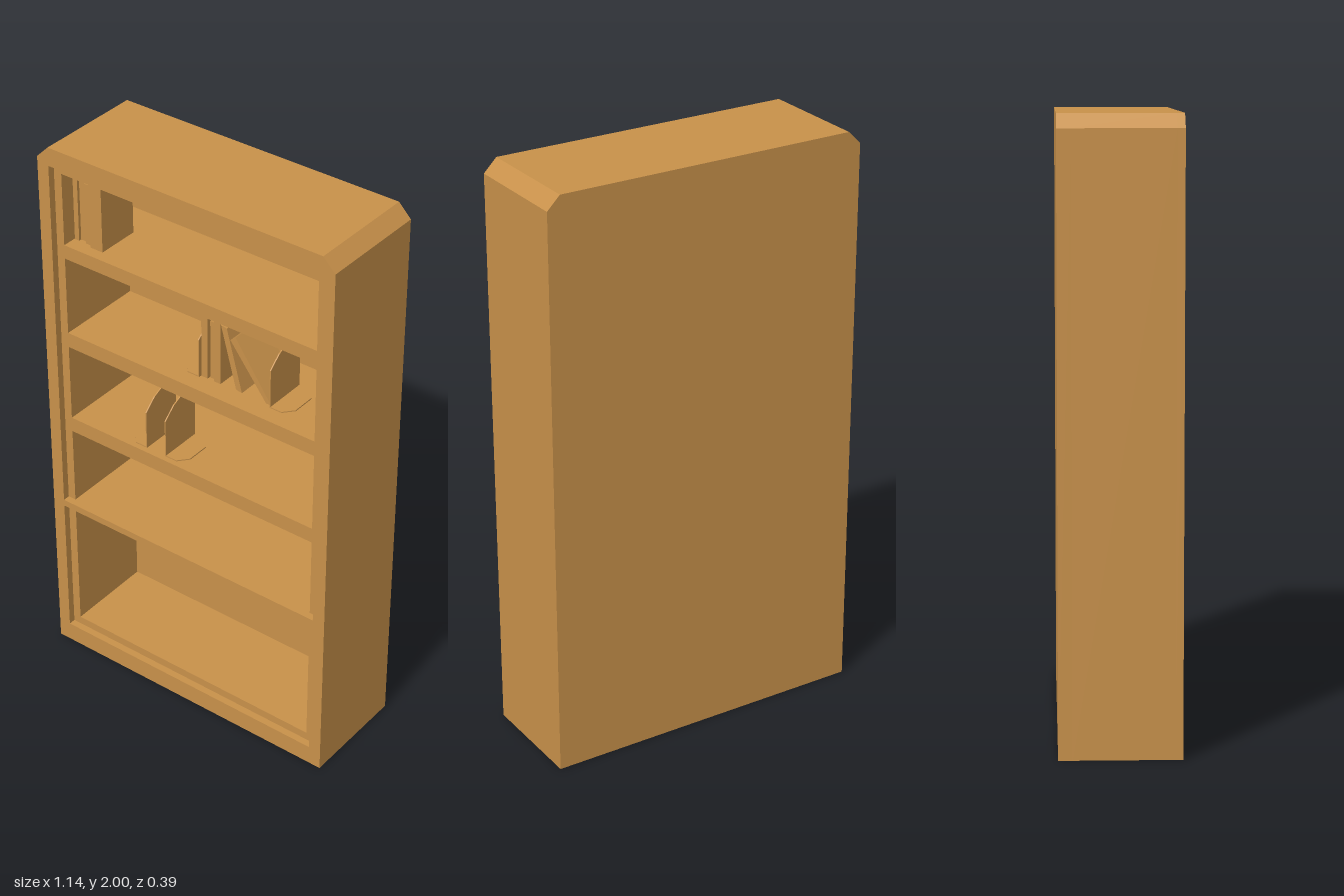
import * as THREE from 'three';

export function createModel() {
  const root = new THREE.Group();
  root.name = 'bookcase';
  const wood = new THREE.MeshStandardMaterial({ color: 0xc8914a });
  wood.name = 'honey wood';

  const add = (name, geometry, parent = root) => {
    const mesh = new THREE.Mesh(geometry, wood);
    mesh.name = name;
    parent.add(mesh);
    return mesh;
  };
  const group = (name) => {
    const g = new THREE.Group();
    g.name = name;
    root.add(g);
    return g;
  };
  const polygon = (pts) => new THREE.Shape(pts.map(([x, y]) => new THREE.Vector2(x, y)));

  // Cabinet layer: chamfered outline with rectangular holes, from z0 to z1
  const layer = (name, z0, z1, half, openings) => {
    const shape = polygon([[-0.57, 0], [0.57, 0], [0.57, 1.955], [0.525, 2], [-0.525, 2], [-0.57, 1.955]]);
    for (const [y0, y1] of openings) {
      shape.holes.push(polygon([[-half, y0], [-half, y1], [half, y1], [half, y0]]));
    }
    const geo = new THREE.ExtrudeGeometry(shape, { depth: z1 - z0, bevelEnabled: false });
    add(name, geo.translate(0, 0, z0));
  };

  // Prism with a (z, y) side profile, running from x0 to x1
  const sideProfile = (pts, x0, x1) =>
    new THREE.ExtrudeGeometry(polygon(pts.map(([z, y]) => [-z, y])), { depth: x1 - x0, bevelEnabled: false })
      .rotateY(Math.PI / 2).translate(x0, 0, 0);

  const zBack = -0.15, zFace = 0.17;
  const bays = [[0.1, 0.575], [0.625, 0.915], [0.97, 1.255], [1.31, 1.595], [1.645, 1.905]];
  layer('backPanel', -0.195, zBack, 0, []);
  layer('shelfBody', zBack, zFace, 0.495, bays);
  layer('frontFrame', zFace, 0.195, 0.525, [[0.07, 0.6], [0.625, 1.935]]);

  // Sloping undersides above the open shelves
  for (const [, top] of bays.slice(1)) {
    add('shelfUnderside', sideProfile([[zFace, top], [zBack, top], [zBack, top - 0.03]], -0.495, 0.495));
  }

  // Bookend: thin upright with cut corner and a flat foot pointing to side dir
  const bookend = (x, y, zFront, dir, parent) => {
    const z = zFront;
    const upright = [[z, y], [z, y + 0.14], [z - 0.045, y + 0.18], [z - 0.09, y + 0.2],
      [z - 0.155, y + 0.213], [z - 0.155, y]];
    add('bookendUpright', sideProfile(upright, x - 0.002, x + 0.002), parent);
    const foot = polygon([[0, 0], [0.045, 0], [0.075, 0.035], [0.075, 0.12], [0.045, 0.155], [0, 0.155]]
      .map(([a, b]) => [x + dir * a, b - z]));
    const geo = new THREE.ExtrudeGeometry(foot, { depth: 0.004, bevelEnabled: false });
    add('bookendFoot', geo.rotateX(-Math.PI / 2).translate(0, y, 0), parent);
  };

  // Upright books: [x0, x1, height, front z]
  const books = (list, y, depth, parent) => {
    for (const [x0, x1, h, z] of list) {
      add('book', new THREE.BoxGeometry(x1 - x0, h, depth)
        .translate((x0 + x1) / 2, y + h / 2, z - depth / 2), parent);
    }
  };

  // Top shelf
  books([
    [-0.493, -0.475, 0.225, 0.12], [-0.475, -0.449, 0.215, 0.11],
    [-0.447, -0.422, 0.22, 0.12], [-0.42, -0.37, 0.236, 0.13],
  ], 1.645, 0.155, group('topShelfBooks'));

  // Second shelf, with leaning books between bookends
  const second = group('secondShelfBooks');
  books([[0.002, 0.027, 0.243, 0.1], [0.03, 0.05, 0.215, 0.09], [0.052, 0.078, 0.23, 0.1]], 1.31, 0.14, second);
  const leaning = [
    [[0.14, 1.315], [0.163, 1.311], [0.103, 1.53], [0.08, 1.535]],
    [[0.258, 1.312], [0.278, 1.312], [0.137, 1.51], [0.117, 1.493]],
  ];
  for (const pts of leaning) {
    const geo = new THREE.ExtrudeGeometry(polygon(pts), { depth: 0.14, bevelEnabled: false });
    add('leaningBook', geo.translate(0, 0, -0.04), second);
  }
  bookend(-0.002, 1.31, 0.11, -1, second);
  bookend(0.28, 1.31, 0.11, 1, second);

  // Third shelf, empty pair of bookends
  const third = group('thirdShelfBookends');
  bookend(-0.19, 0.97, 0.15, -1, third);
  bookend(-0.11, 0.97, 0.15, 1, third);

  return root;
}
